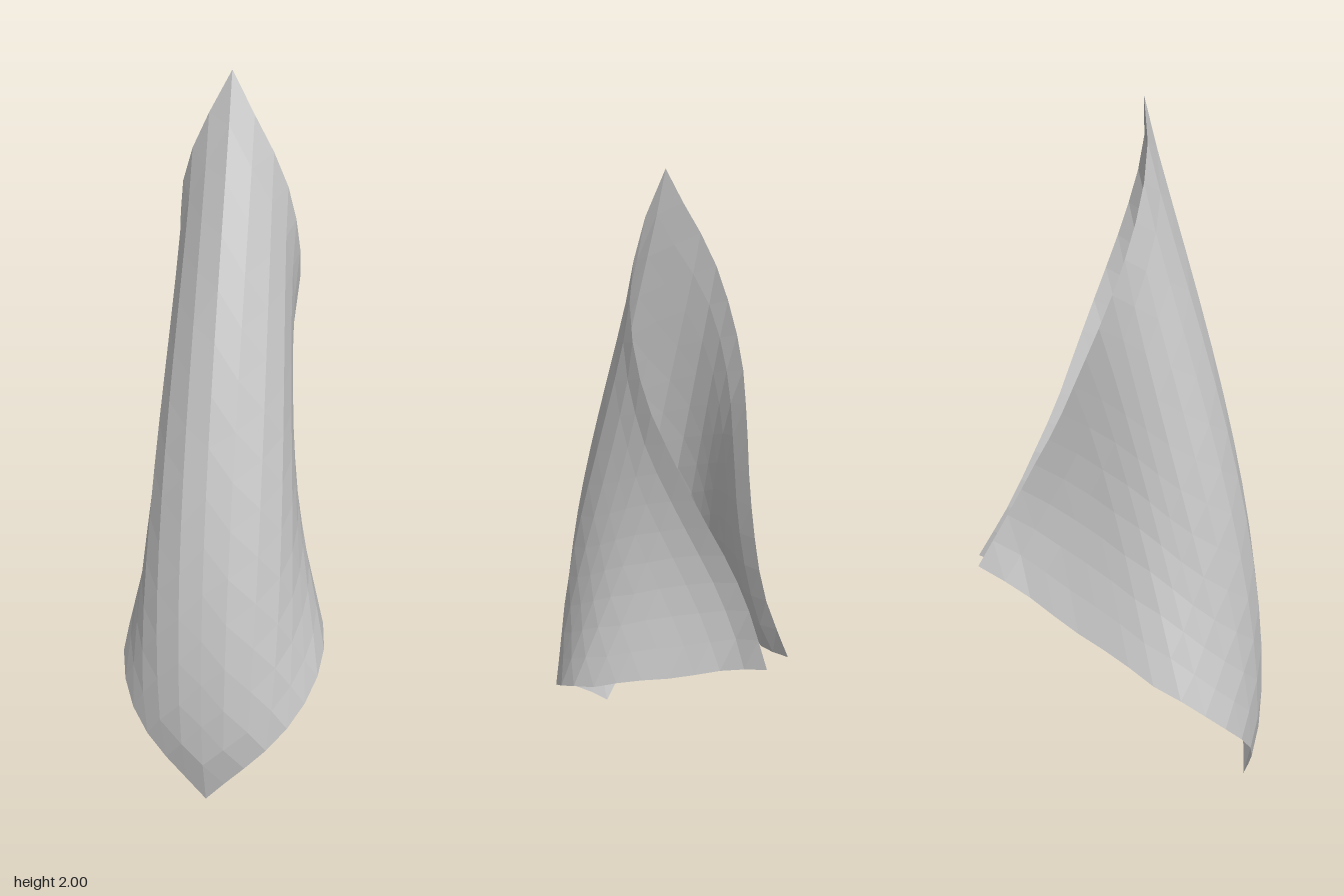
import * as THREE from 'three';

const N = 15; // cells along each edge of the sheet

const curve = (pts) => new THREE.CatmullRomCurve3(pts.map((p) => new THREE.Vector3(...p)));

// Edges of the +x half, each running from the spine out to the wing tip
const upperEdge = curve([
  [-0.007, 2, 0.007], [0.04, 1.87, 0.06], [0.1, 1.74, 0.085], [0.15, 1.6, 0.075], [0.19, 1.45, 0.035],
  [0.21, 1.3, -0.03], [0.225, 1.15, -0.1], [0.25, 1.0, -0.18], [0.28, 0.88, -0.235], [0.35, 0.72, -0.295],
]);
const lowerEdge = curve([
  [-0.22, 0, 0.22], [-0.17, 0.09, 0.28], [-0.11, 0.17, 0.33], [-0.03, 0.25, 0.35], [0.06, 0.33, 0.33],
  [0.13, 0.4, 0.28], [0.18, 0.45, 0.2], [0.21, 0.51, 0.1], [0.235, 0.55, 0], [0.26, 0.6, -0.1],
  [0.285, 0.65, -0.19], [0.35, 0.72, -0.295],
]);

// Point on the +x half: v from spine (0) to tip (1), t from upper edge to lower edge
function wingPoint(v, t) {
  const p = upperEdge.getPointAt(v ** 0.9).lerp(lowerEdge.getPointAt(v), t);
  // The spine bellies outwards low down, the flanks are drawn in at the waist
  const belly = 0.484 * t ** 1.3 * (1 - t) ** 0.8 * Math.exp(-((v / 0.23) ** 2));
  const waist = 0.17 * t ** 0.8 * (1 - t) ** 1.2 * Math.abs(Math.sin(Math.PI * v)) ** 1.5;
  // Outward direction turns as the sheet wraps round
  const angle = Math.PI / 4 + 2 * THREE.MathUtils.smoothstep(v, 0, 0.5);
  p.x -= Math.cos(angle) * (belly - waist);
  p.z += Math.sin(angle) * (belly - waist);
  return p;
}

// Square sheet hung by one corner: the diagonal i = j is the spine, |i - j| counts columns outwards
function sheetPoint(i, j) {
  const k = Math.abs(i - j);
  const t = k === N ? 0 : (i + j - k) / (2 * (N - k));
  const p = wingPoint(k / N, t);
  return i >= j ? p : new THREE.Vector3(-p.z, p.y, -p.x);
}

export function createModel() {
  const positions = [];
  for (let i = 0; i <= N; i++) {
    for (let j = 0; j <= N; j++) positions.push(...sheetPoint(i, j).toArray());
  }

  // Cells are split parallel to the spine
  const indices = [];
  for (let i = 0; i < N; i++) {
    for (let j = 0; j < N; j++) {
      const a = i * (N + 1) + j;
      const b = a + N + 1;
      indices.push(a, b + 1, b, a, a + 1, b + 1);
    }
  }

  const geometry = new THREE.BufferGeometry();
  geometry.setAttribute('position', new THREE.Float32BufferAttribute(positions, 3));
  geometry.setIndex(indices);
  geometry.computeVertexNormals();

  const sheet = new THREE.Mesh(geometry, new THREE.MeshStandardMaterial({
    color: 0xcccccc, flatShading: true, side: THREE.DoubleSide,
  }));
  sheet.name = 'curledSheet';

  const model = new THREE.Group();
  model.name = 'foldedCloth';
  model.add(sheet);
  return model;
}
